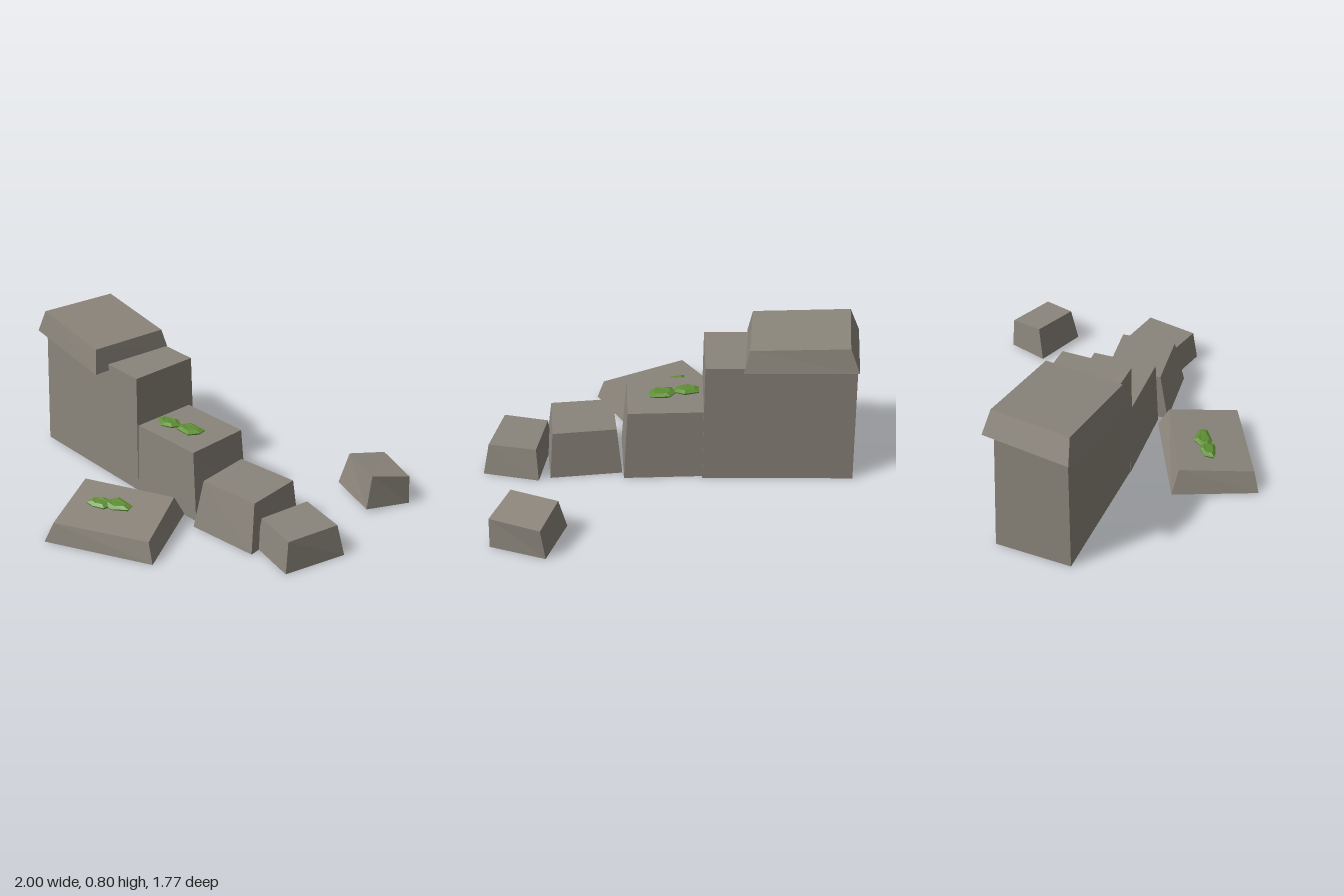
import * as THREE from 'three';

// Flat-shaded solid from a stack of rings, each listed backLeft, backRight,
// frontRight, frontLeft (clockwise from above), bottom ring first.
function loft(name, rings, material) {
  const pos = [];
  const n = rings[0].length;
  const tri = (a, b, c) => pos.push(...a, ...b, ...c);
  for (let r = 0; r < rings.length - 1; r++) {
    for (let i = 0; i < n; i++) {
      const j = (i + 1) % n;
      const a = rings[r][i], b = rings[r][j], c = rings[r + 1][j], d = rings[r + 1][i];
      tri(a, d, c);
      tri(a, c, b);
    }
  }
  const low = rings[0], high = rings[rings.length - 1];
  for (let i = 1; i < n - 1; i++) {
    tri(low[0], low[i], low[i + 1]);
    tri(high[0], high[i + 1], high[i]);
  }
  const geometry = new THREE.BufferGeometry();
  geometry.setAttribute('position', new THREE.Float32BufferAttribute(pos, 3));
  geometry.computeVertexNormals();
  const mesh = new THREE.Mesh(geometry, material);
  mesh.name = name;
  return mesh;
}

// Ring of [x, z] points lifted to a height, or to a height per point
const lift = (points, y) => points.map(([x, z], i) => [x, Array.isArray(y) ? y[i] : y, z]);

// Moss clump: faceted mound over an outline, following a surface height rule
function moss(name, outline, surface, material) {
  const cx = outline.reduce((s, p) => s + p[0], 0) / outline.length;
  const cz = outline.reduce((s, p) => s + p[1], 0) / outline.length;
  const ring = (scale, height) => outline.map(([x, z], i) => {
    const px = cx + (x - cx) * scale, pz = cz + (z - cz) * scale;
    return [px, surface(px, pz) + height + (i % 2) * 0.003, pz];
  });
  return loft(name, [ring(0.9, -0.01), ring(1, 0.006), ring(0.6, 0.016)], material);
}

export function createModel() {
  const stone = new THREE.MeshStandardMaterial({ color: 0x8b857b, flatShading: true });
  stone.name = 'stone';
  const green = new THREE.MeshStandardMaterial({ color: 0x5f8f34, flatShading: true });
  green.name = 'moss';
  const group = new THREE.Group();
  group.name = 'ruinedWall';

  // Blocks: name, bottom outline, bottom height, top outline, top height
  const blocks = [
    ['wall',
      [[-0.965, -0.21], [-0.165, -0.21], [-0.165, 0.2], [-0.965, 0.2]], 0,
      [[-0.95, -0.19], [-0.175, -0.19], [-0.175, 0.19], [-0.95, 0.19]], 0.665],
    ['capstone',
      [[-0.95, -0.255], [-0.37, -0.2], [-0.41, 0.275], [-1, 0.215]], [0.675, 0.64, 0.63, 0.67],
      [[-0.9, -0.225], [-0.4, -0.175], [-0.435, 0.25], [-0.945, 0.2]], [0.8, 0.76, 0.76, 0.8]],
    ['highStep',
      [[-0.2, -0.19], [0.25, -0.21], [0.275, 0.175], [-0.2, 0.203]], 0,
      [[-0.2, -0.17], [0.225, -0.187], [0.24, 0.165], [-0.2, 0.186]], 0.39],
    ['middleStep',
      [[0.26, -0.16], [0.64, -0.21], [0.69, 0.175], [0.305, 0.22]], 0,
      [[0.285, -0.135], [0.62, -0.18], [0.65, 0.125], [0.32, 0.165]], 0.26],
    ['lowStep',
      [[0.7, -0.235], [1, -0.17], [0.925, 0.17], [0.655, 0.11]], 0,
      [[0.71, -0.195], [0.965, -0.145], [0.91, 0.145], [0.67, 0.09]], 0.17],
    ['strayBlock',
      [[0.61, -0.89], [0.895, -0.795], [0.81, -0.55], [0.52, -0.65]], [0, 0, 0.02, 0.02],
      [[0.63, -0.885], [0.89, -0.785], [0.8, -0.59], [0.555, -0.685]], [0.165, 0.165, 0.2, 0.2]],
    ['fallenSlab',
      [[-0.31, 0.475], [0.21, 0.2], [0.43, 0.605], [-0.095, 0.88]], [0.025, 0.025, 0, 0],
      [[-0.25, 0.49], [0.205, 0.265], [0.39, 0.595], [-0.065, 0.84]], [0.15, 0.15, 0.11, 0.11]],
  ];
  for (const [name, low, lowY, high, highY] of blocks) {
    group.add(loft(name, [lift(low, lowY), lift(high, highY)], stone));
  }

  // Moss on the high step and on the tilted slab
  const stepTop = () => 0.39;
  const slabTop = (x, z) => 0.15 - 0.104 * ((x + 0.02) * 0.474 + (z - 0.378) * 0.88);
  group.add(
    moss('stepMossLeft', [[-0.15, 0.02], [-0.07, -0.005], [-0.01, 0.025], [-0.03, 0.075], [-0.09, 0.1], [-0.15, 0.07]], stepTop, green),
    moss('stepMossRight', [[-0.025, 0.015], [0.005, -0.03], [0.11, -0.035], [0.12, 0.01], [0.085, 0.065], [-0.005, 0.065]], stepTop, green),
    moss('slabMossLeft', [[-0.08, 0.57], [-0.04, 0.53], [0.04, 0.515], [0.03, 0.59], [-0.03, 0.615], [-0.075, 0.62]], slabTop, green),
    moss('slabMossRight', [[-0.015, 0.53], [0.015, 0.475], [0.115, 0.47], [0.13, 0.51], [0.06, 0.565], [-0.005, 0.57]], slabTop, green),
  );
  return group;
}
